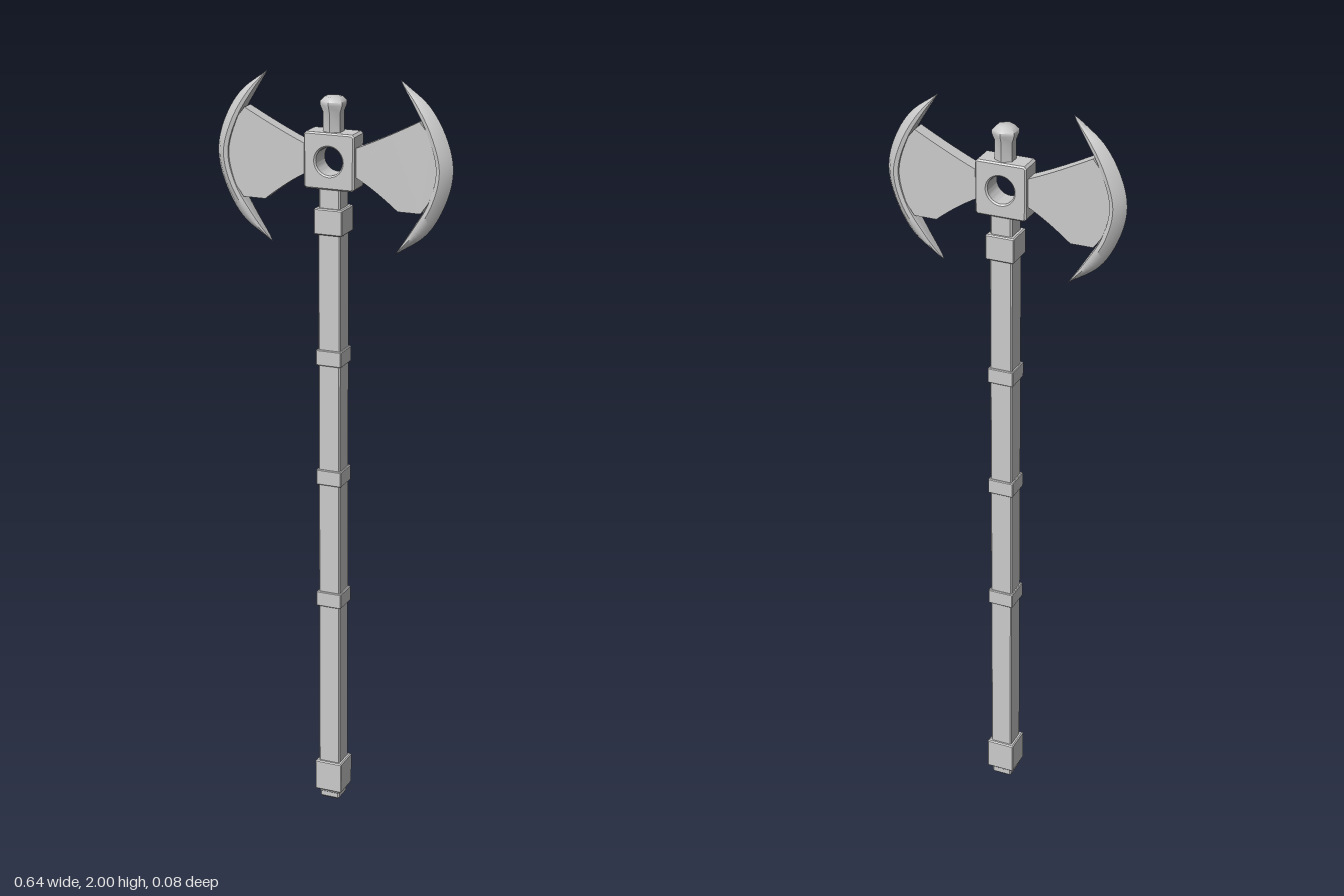
import * as THREE from 'three';
import { toCreasedNormals } from 'three/addons/utils/BufferGeometryUtils.js';

const material = new THREE.MeshStandardMaterial({ color: 0xcccccc });

function mesh(name, geometry) {
  const m = new THREE.Mesh(geometry, material);
  m.name = name;
  return m;
}

// Square outline with cut corners
function cutSquare(w, h, cut, cy = 0) {
  return new THREE.Shape([
    [w - cut, -h], [w, -h + cut], [w, h - cut], [w - cut, h],
    [-w + cut, h], [-w, h - cut], [-w, -h + cut], [-w + cut, -h],
  ].map(([x, y]) => new THREE.Vector2(x, y + cy)));
}

// Upright square bar from y0 to y1 with bevelled ends
function bar(name, half, y0, y1, cut, bevel) {
  const g = new THREE.ExtrudeGeometry(cutSquare(half, half, cut), {
    depth: y1 - y0 - 2 * bevel, bevelThickness: bevel, bevelSize: bevel,
    bevelOffset: -bevel, bevelSegments: 1,
  });
  g.rotateX(-Math.PI / 2);
  g.translate(0, y0 + bevel, 0);
  return mesh(name, g);
}

// Crescent edge: lens-shaped sections swept between an outer and an inner curve
function crescentGeometry() {
  const curve = (pts) => new THREE.CatmullRomCurve3(pts.map(([x, y]) => new THREE.Vector3(x, y, 0)));
  const outer = curve([[0.178, 2], [0.255, 1.94], [0.302, 1.86], [0.318, 1.785], [0.302, 1.707], [0.252, 1.62], [0.168, 1.56]]);
  const inner = curve([[0.178, 2], [0.213, 1.945], [0.25, 1.88], [0.277, 1.79], [0.258, 1.705], [0.217, 1.635], [0.168, 1.56]]);
  // [share of the way from outer to inner, share of the half thickness]
  const section = [[0, 0], [0.3, 0.66], [0.65, 1], [0.9, 0.85], [1, 0.35],
    [1, -0.35], [0.9, -0.85], [0.65, -1], [0.3, -0.66]];
  const steps = 36, n = section.length, pos = [], index = [];
  for (let i = 0; i <= steps; i++) {
    const t = i / steps;
    const a = outer.getPoint(t), b = inner.getPoint(t);
    const thick = 0.027 * Math.pow(Math.max(0, Math.sin(Math.PI * t)), 0.55);
    for (const [u, v] of section) {
      pos.push(a.x + (b.x - a.x) * u, a.y + (b.y - a.y) * u, thick * v);
    }
  }
  for (let i = 0; i < steps; i++) {
    for (let j = 0; j < n; j++) {
      const a = i * n + j, b = i * n + (j + 1) % n;
      if (i > 0) index.push(a, b, a + n);
      if (i < steps - 1) index.push(b, b + n, a + n);
    }
  }
  const g = new THREE.BufferGeometry();
  g.setAttribute('position', new THREE.Float32BufferAttribute(pos, 3));
  g.setIndex(index);
  return toCreasedNormals(g, 0.8);
}

// Flaring plate that joins the head block to the crescent
function webGeometry() {
  const s = new THREE.Shape();
  s.moveTo(0.06, 1.755);
  s.quadraticCurveTo(0.115, 1.728, 0.18, 1.675);
  s.lineTo(0.24, 1.675);
  s.quadraticCurveTo(0.335, 1.79, 0.235, 1.905);
  s.quadraticCurveTo(0.135, 1.852, 0.06, 1.822);
  s.closePath();
  const g = new THREE.ExtrudeGeometry(s, { depth: 0.038, bevelEnabled: false, curveSegments: 10 });
  return g.translate(0, 0, -0.019);
}

export function createModel() {
  const model = new THREE.Group();
  model.name = 'doubleAxe';

  // Handle
  model.add(bar('shaft', 0.03, 0.02, 1.65, 0.003, 0.002));
  model.add(bar('pommelTip', 0.028, 0, 0.04, 0.004, 0.007));
  model.add(bar('pommel', 0.038, 0.028, 0.116, 0.002, 0.003));
  for (const y of [0.6, 0.947, 1.275]) {
    model.add(bar('band', 0.035, y - 0.021, y + 0.021, 0.002, 0.002));
  }
  model.add(bar('collar', 0.038, 1.6, 1.668, 0.002, 0.003));
  model.add(bar('neck', 0.029, 1.65, 1.73, 0.004, 0.002));

  // Head block with a round hole through it
  const block = cutSquare(0.068, 0.072, 0.006, 1.788);
  const hole = new THREE.Path();
  hole.absarc(0, 1.788, 0.036, 0, Math.PI * 2, true);
  block.holes.push(hole);
  const blockGeometry = new THREE.ExtrudeGeometry(block, {
    depth: 0.058, bevelThickness: 0.004, bevelSize: 0.004, bevelOffset: -0.004,
    bevelSegments: 1, curveSegments: 24,
  });
  blockGeometry.translate(0, 0, -0.029);
  model.add(mesh('headBlock', toCreasedNormals(blockGeometry, 0.5)));

  // Six-sided finial on top
  const rings = [[0.027, 1.85], [0.027, 1.91], [0.034, 1.927], [0.034, 1.936], [0.023, 1.947], [0, 1.948]];
  const finial = new THREE.LatheGeometry(rings.map(([r, y]) => new THREE.Vector2(r, y)), 6);
  model.add(mesh('finial', toCreasedNormals(finial, 0.9)));

  // Two opposite blades
  const web = webGeometry(), crescent = crescentGeometry();
  ['leftBlade', 'rightBlade'].forEach((name, i) => {
    const blade = new THREE.Group();
    blade.name = name;
    blade.add(mesh('bladeWeb', web), mesh('bladeEdge', crescent));
    blade.rotation.y = i * Math.PI;
    model.add(blade);
  });
  return model;
}
